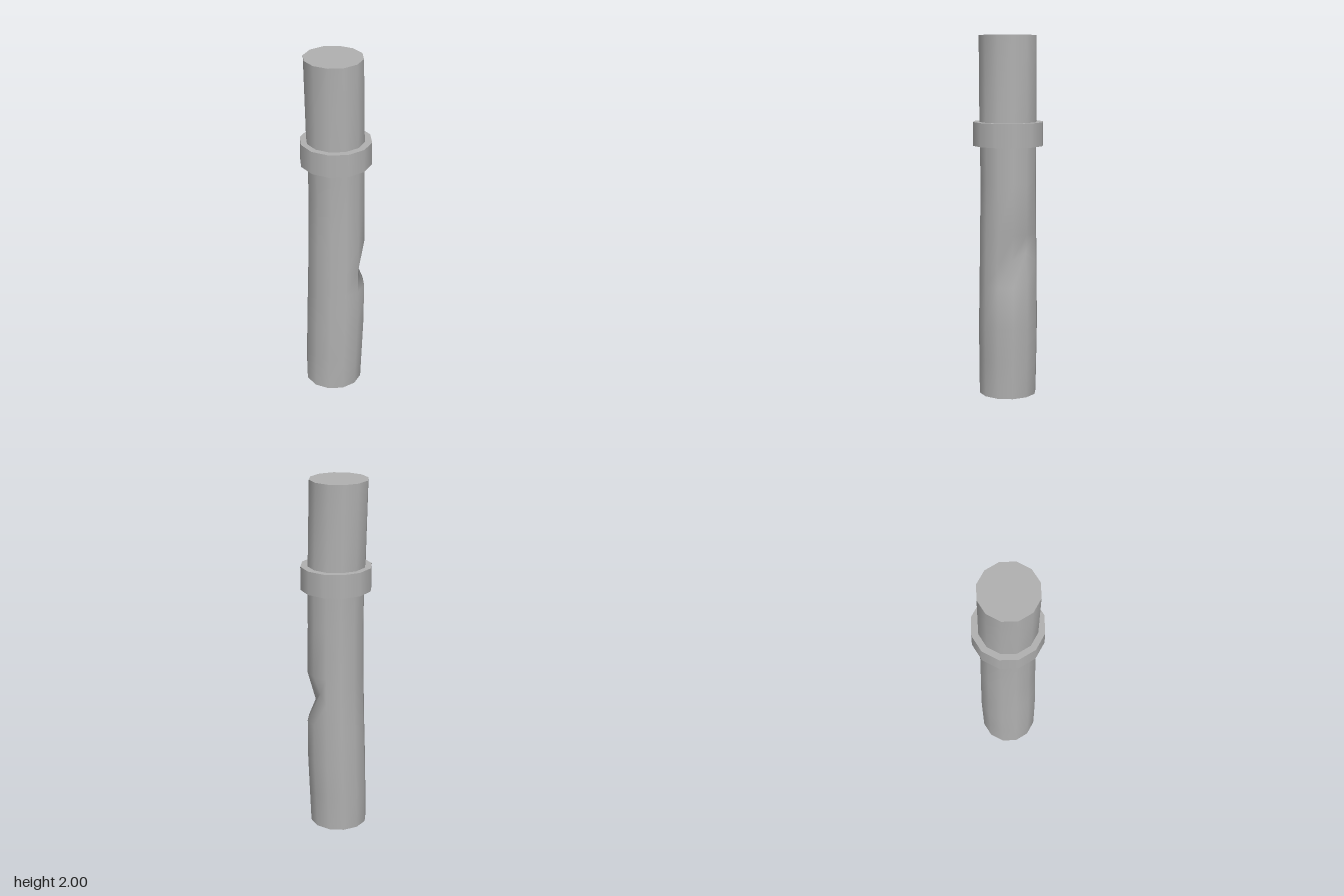
import * as THREE from 'three';

const SIDES = 12;

export function createModel() {
  const group = new THREE.Group();
  const metal = new THREE.MeshStandardMaterial({ color: 0xb0b0b0 });
  metal.name = 'grey metal';

  // Pipe cross-sections: height, centre x, radius, dented
  const sections = [
    [0, -0.015, 0.16], [0.2, -0.01, 0.163], [0.4, -0.004, 0.165], [0.63, 0, 0.162],
    [0.77, 0.001, 0.16, true], [0.92, 0.002, 0.158], [1.2, 0.002, 0.155],
    [1.4, 0, 0.157], [1.53, -0.004, 0.159], [2, -0.015, 0.16],
  ];
  const ring = ([y, cx, r, dented]) => Array.from({ length: SIDES }, (_, i) => {
    const a = (i / SIDES) * Math.PI * 2;
    const p = new THREE.Vector3(cx + r * Math.cos(a), y, r * Math.sin(a));
    // The dent flattens the +x side along a slanted crease
    if (dented && p.x > 0.1) {
      p.x = 0.102;
      p.y -= 0.6 * p.z;
    }
    return p;
  });

  // Bent pipe wall
  const points = sections.flatMap(ring);
  const index = [];
  for (let j = 0; j < sections.length - 1; j++) {
    for (let i = 0; i < SIDES; i++) {
      const a = j * SIDES + i, b = j * SIDES + (i + 1) % SIDES;
      index.push(a, a + SIDES, b, b, a + SIDES, b + SIDES);
    }
  }
  const wall = new THREE.BufferGeometry().setFromPoints(points);
  wall.setIndex(index);
  wall.computeVertexNormals();
  const pipe = new THREE.Mesh(wall, metal);
  pipe.name = 'pipe';
  group.add(pipe);

  // Flat end caps
  const addCap = (name, y, tilt) => {
    const cap = new THREE.Mesh(new THREE.CircleGeometry(0.16, SIDES), metal);
    cap.name = name;
    cap.rotation.x = tilt;
    cap.position.set(-0.015, y, 0);
    group.add(cap);
  };
  addCap('topCap', 2, -Math.PI / 2);
  addCap('bottomCap', 0, Math.PI / 2);

  // Collar around the upper part
  const collar = new THREE.Mesh(new THREE.CylinderGeometry(0.196, 0.196, 0.13, SIDES), metal);
  collar.name = 'collar';
  collar.position.set(-0.001, 1.465, 0);
  group.add(collar);

  return group;
}
